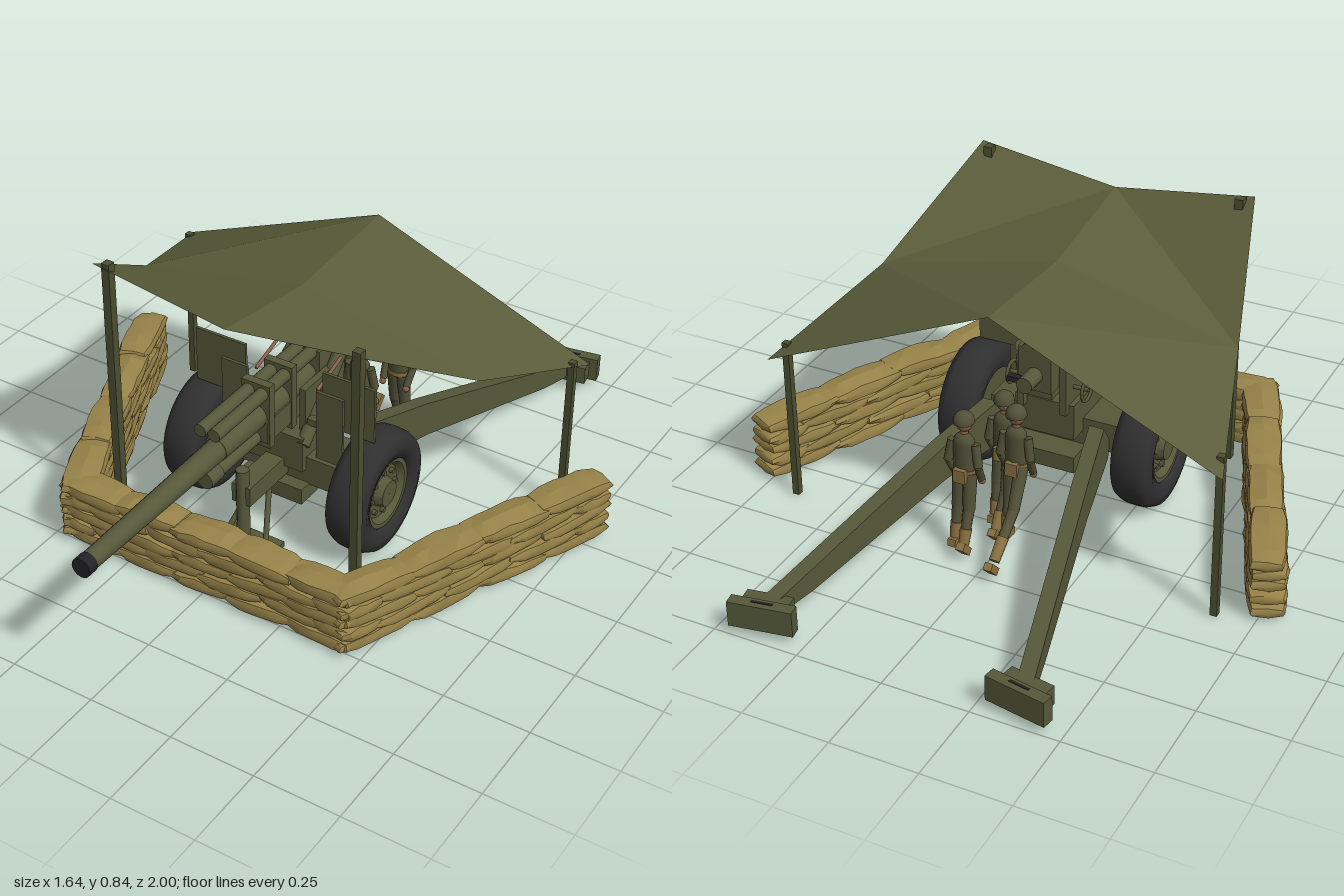
import * as THREE from 'three';
import { mergeVertices, toCreasedNormals } from 'three/addons/utils/BufferGeometryUtils.js';

const mat = (name, color, extra = {}) => Object.assign(new THREE.MeshStandardMaterial({ color, ...extra }), { name });
const M = {
  gun: mat('olive paint', 0x555839),
  canvas: mat('canvas', 0x5b5d3b, { side: THREE.DoubleSide, flatShading: true }),
  pole: mat('pole green', 0x4b4f30),
  bag: mat('sandbag', 0x988349),
  tyre: mat('rubber', 0x303030),
  dark: mat('dark steel', 0x232326),
  cloth: mat('uniform', 0x525037),
  skin: mat('skin', 0x8a6148),
  tan: mat('webbing and boots', 0x88703f),
};

let seed = 7;
const rnd = () => ((seed = (seed * 16807) % 2147483647) / 2147483647) * 2 - 1;

function add(parent, name, geo, m, x = 0, y = 0, z = 0) {
  const mesh = new THREE.Mesh(geo, m);
  mesh.name = name;
  mesh.position.set(x, y, z);
  parent.add(mesh);
  return mesh;
}
const box = (p, name, m, w, h, d, x, y, z) => add(p, name, new THREE.BoxGeometry(w, h, d), m, x, y, z);

// Round bar between two points
function rod(p, name, m, a, b, r0, r1 = r0, sides = 12) {
  const A = new THREE.Vector3(...a), B = new THREE.Vector3(...b), dir = B.clone().sub(A);
  const mesh = add(p, name, new THREE.CylinderGeometry(r1, r0, dir.length(), sides), m);
  mesh.position.copy(A).add(B).multiplyScalar(0.5);
  mesh.quaternion.setFromUnitVectors(new THREE.Vector3(0, 1, 0), dir.normalize());
  return mesh;
}
// Bar along the barrel axis
const zRod = (p, name, m, x, y, z0, z1, r0, r1 = r0) => rod(p, name, m, [x, y, z0], [x, y, z1], r0, r1, 20);

// Pillow shape for a sandbag, drooping toward its ends
function bagGeometry() {
  let g = new THREE.BoxGeometry(2, 2, 2, 5, 2, 2);
  g.deleteAttribute('normal');
  g.deleteAttribute('uv');
  g = mergeVertices(g);
  const p = g.attributes.position;
  for (let i = 0; i < p.count; i++) {
    const u = p.getX(i), v = p.getY(i), w = p.getZ(i);
    p.setXYZ(i, u * (1 - 0.05 * v * v) + rnd() * 0.03,
      v * (1 - 0.45 * u ** 4) * (1 - 0.3 * w * w) + rnd() * 0.12,
      w * (1 - 0.15 * u ** 4) * (1 - 0.1 * v * v) + rnd() * 0.05);
  }
  return toCreasedNormals(g, 0.6);
}

// Staggered courses of bags from one end point to the other
function sandbagWall(parent, name, geos, a, b, n) {
  const wall = new THREE.Group();
  wall.name = name;
  parent.add(wall);
  const dx = b[0] - a[0], dz = b[1] - a[1], len = Math.hypot(dx, dz), step = len / n;
  for (let row = 0; row < 5; row++) {
    const odd = row % 2;
    for (let i = 0; i < n + odd; i++) {
      const s = odd ? Math.max(0, (i - 0.5) * step) : i * step;
      const e = odd ? Math.min(len, (i + 0.5) * step) : (i + 1) * step;
      const t = (s + e) / 2 / len;
      const bag = add(wall, 'sandbag', geos[(i + row * 2) % geos.length], M.bag,
        a[0] + dx * t, 0.027 + row * 0.037 + rnd() * 0.003, a[1] + dz * t);
      bag.scale.set((e - s) / 2 + 0.012, 0.025, 0.053 + rnd() * 0.004);
      bag.rotation.set(0, Math.atan2(-dz, dx) + rnd() * 0.04, rnd() * 0.06, 'YXZ');
    }
  }
}

function buildWheel(parent, s) {
  const w = new THREE.Group();
  w.name = s > 0 ? 'leftWheel' : 'rightWheel';
  w.position.set(s * 0.27, 0.182, 0.055);
  w.rotation.z = -s * Math.PI / 2;
  parent.add(w);
  const prof = [[0.105, -0.05], [0.14, -0.062], [0.17, -0.052], [0.18, -0.03], [0.182, 0],
    [0.18, 0.03], [0.17, 0.052], [0.14, 0.062], [0.105, 0.05], [0.1, 0]];
  add(w, 'tyre', new THREE.LatheGeometry(prof.map(q => new THREE.Vector2(...q)), 40), M.tyre);
  const rim = [[0.001, -0.04], [0.108, -0.045], [0.108, 0.045], [0.092, 0.045], [0.08, 0.025], [0.045, 0.025], [0.038, 0.05], [0.001, 0.05]];
  add(w, 'rim', toCreasedNormals(new THREE.LatheGeometry(rim.map(q => new THREE.Vector2(...q)), 28), 0.6), M.gun);
  for (let i = 0; i < 8; i++) {
    const t = i * Math.PI / 4;
    add(w, 'wheelNut', new THREE.CylinderGeometry(0.008, 0.008, 0.012, 6), M.gun, Math.cos(t) * 0.063, 0.03, Math.sin(t) * 0.063);
  }
}

// Tapered trail leg splayed outward, with its spade
function buildTrail(parent, s) {
  const pts = [[0, 0.19], [0.09, 0.285], [0.3, 0.245], [0.93, 0.085], [0.93, 0.04], [0.8, 0.05], [0.3, 0.135], [0.03, 0.15]];
  const g = new THREE.ExtrudeGeometry(new THREE.Shape(pts.map(q => new THREE.Vector2(...q))), { depth: 0.045, bevelEnabled: false });
  const p = g.attributes.position;
  for (let i = 0; i < p.count; i++) {
    const a = p.getX(i);
    p.setXYZ(i, s * (0.167 + 0.245 * (a - 0.1)) + p.getZ(i) - 0.0225, p.getY(i), -a);
  }
  g.computeVertexNormals();
  add(parent, 'trailLeg', g, M.gun);
  const spade = new THREE.Group();
  spade.name = 'spade';
  spade.position.set(s * 0.372, 0.06, -0.955);
  spade.rotation.y = s * 0.17;
  parent.add(spade);
  box(spade, 'spadePlate', M.gun, 0.18, 0.075, 0.035, 0, 0, -0.012);
  box(spade, 'spadeBlock', M.gun, 0.13, 0.055, 0.06, 0, 0, 0.02);
  box(spade, 'spadeSlot', M.dark, 0.06, 0.006, 0.008, 0, 0.036, -0.008);
}

function buildGun(root) {
  const g = new THREE.Group();
  g.name = 'fieldGun';
  root.add(g);
  // Barrel and breech
  zRod(g, 'barrel', M.gun, 0, 0.43, 0.3, 0.97, 0.034, 0.026);
  zRod(g, 'barrelSleeve', M.gun, 0, 0.43, -0.05, 0.42, 0.042, 0.034);
  zRod(g, 'muzzleRing', M.dark, 0, 0.43, 0.968, 1, 0.028);
  zRod(g, 'breechScrew', M.gun, 0, 0.435, -0.205, -0.1, 0.024);
  box(g, 'breechBlock', M.gun, 0.1, 0.13, 0.13, 0, 0.45, -0.075);
  box(g, 'breechLever', M.dark, 0.05, 0.015, 0.02, 0.04, 0.43, -0.17);
  // Recoil cylinders and cradle
  for (const s of [-1, 1]) zRod(g, 'upperRecoilCylinder', M.gun, s * 0.022, 0.507, -0.14, 0.46, 0.019);
  zRod(g, 'lowerRecoilCylinder', M.gun, 0, 0.362, 0, 0.47, 0.021);
  zRod(g, 'lowerCylinderCap', M.gun, 0, 0.362, 0.42, 0.475, 0.025);
  box(g, 'cradle', M.gun, 0.085, 0.07, 0.36, 0, 0.39, 0.06);
  for (const z of [0.17, 0.28]) box(g, 'cylinderYoke', M.gun, 0.09, 0.2, 0.025, 0, 0.435, z - 0.06);
  // Carriage
  box(g, 'saddle', M.gun, 0.18, 0.11, 0.22, 0, 0.27, 0.03);
  box(g, 'bottomCarriage', M.gun, 0.4, 0.09, 0.14, 0, 0.21, 0.05);
  box(g, 'bellyPlate', M.gun, 0.2, 0.05, 0.26, 0, 0.145, 0.03);
  rod(g, 'axle', M.gun, [-0.26, 0.182, 0.055], [0.26, 0.182, 0.055], 0.025);
  // Front firing jack
  rod(g, 'jackPost', M.gun, [0, 0.02, 0.3], [0, 0.29, 0.3], 0.019);
  box(g, 'jackArm', M.gun, 0.06, 0.06, 0.22, 0, 0.21, 0.2);
  box(g, 'jackPlate', M.gun, 0.17, 0.018, 0.15, 0, 0.018, 0.3);
  for (const s of [-1, 1]) {
    rod(g, 'jackBrace', M.gun, [s * 0.07, 0.025, 0.3], [s * 0.02, 0.19, 0.2], 0.008);
    box(g, 'cheekPlate', M.gun, 0.02, 0.16, 0.2, s * 0.065, 0.38, 0);
    rod(g, 'trunnion', M.gun, [s * 0.04, 0.42, 0], [s * 0.095, 0.42, 0], 0.024);
    rod(g, 'equilibrator', M.gun, [s * 0.085, 0.3, 0.13], [s * 0.07, 0.48, -0.08], 0.02);
    rod(g, 'sightRod', M.skin, [s * 0.1, 0.46, 0.08], [s * 0.1, 0.5, -0.04], 0.005);
    // Shields
    box(g, 'outerShield', M.gun, 0.165, 0.17, 0.009, s * 0.2075, 0.45, 0.09);
    box(g, 'innerShield', M.gun, 0.085, 0.28, 0.009, s * 0.155, 0.335, 0.102);
    box(g, 'shieldBracket', M.gun, 0.06, 0.02, 0.08, s * 0.11, 0.36, 0.06);
    const hand = add(g, 'handwheel', new THREE.TorusGeometry(0.033, 0.005, 6, 18), M.gun, s * 0.115, 0.37, -0.05);
    hand.rotation.y = Math.PI / 2;
    rod(g, 'handwheelShaft', M.gun, [s * 0.06, 0.37, -0.05], [s * 0.12, 0.37, -0.05], 0.006);
    buildWheel(g, s);
    buildTrail(g, s);
  }
}

// Striding crew member with one leg trailing
function buildCrew(parent, x, z, h, back) {
  const c = new THREE.Group();
  c.name = 'crewMember';
  c.position.set(x, 0, z);
  c.scale.setScalar(h / 0.44);
  parent.add(c);
  const torso = add(c, 'torso', new THREE.CapsuleGeometry(0.032, 0.075, 4, 12), M.cloth, 0, 0.305, 0);
  torso.scale.z = 0.75;
  add(c, 'belt', new THREE.CylinderGeometry(0.033, 0.033, 0.014, 12), M.tan, 0, 0.255, 0).scale.z = 0.8;
  box(c, 'pack', M.tan, 0.036, 0.04, 0.016, 0, 0.25, -0.028);
  rod(c, 'neck', M.skin, [0, 0.35, 0], [0, 0.385, 0.005], 0.012);
  add(c, 'head', new THREE.SphereGeometry(0.023, 14, 10), M.skin, 0, 0.4, 0.005);
  add(c, 'helmet', new THREE.SphereGeometry(0.03, 16, 8, 0, Math.PI * 2, 0, Math.PI * 0.55), M.cloth, 0, 0.41, 0.002);
  for (const s of [-1, 1]) {
    const fz = s < 0 ? -back : -0.03;
    rod(c, 'upperArm', M.cloth, [s * 0.036, 0.345, 0], [s * 0.046, 0.28, -0.008], 0.013);
    rod(c, 'forearm', M.cloth, [s * 0.046, 0.28, -0.008], [s * 0.04, 0.225, 0.02], 0.011);
    add(c, 'hand', new THREE.SphereGeometry(0.011, 8, 6), M.skin, s * 0.04, 0.217, 0.023);
    rod(c, 'thigh', M.cloth, [s * 0.016, 0.25, 0], [s * 0.02, 0.14, fz * 0.3], 0.021, 0.017);
    rod(c, 'shin', M.cloth, [s * 0.02, 0.14, fz * 0.3], [s * 0.02, 0.05, fz * 0.85], 0.016, 0.013);
    rod(c, 'gaiter', M.tan, [s * 0.02, 0.09, fz * 0.62], [s * 0.02, 0.045, fz * 0.88], 0.017, 0.015);
    const boot = box(c, 'boot', M.tan, 0.024, 0.022, 0.052, s * 0.02, 0.032, fz + 0.005);
    boot.rotation.x = s < 0 ? 0.8 : 0.15;
  }
}

function buildCanopy(root) {
  const g = new THREE.Group();
  g.name = 'canopy';
  root.add(g);
  // Rows front to back, each right to left
  const v = [-0.42, 0.84, 0.37, 0, 0.78, 0.37, 0.42, 0.84, 0.37,
    -0.54, 0.595, -0.02, 0, 0.72, 0, 0.54, 0.595, -0.02,
    -0.67, 0.462, -0.43, 0, 0.745, -0.4, 0.67, 0.462, -0.43];
  const geo = new THREE.BufferGeometry();
  geo.setAttribute('position', new THREE.Float32BufferAttribute(v, 3));
  geo.setIndex([0, 1, 3, 1, 4, 3, 1, 2, 5, 1, 5, 4, 3, 4, 7, 3, 7, 6, 4, 5, 7, 5, 8, 7]);
  geo.computeVertexNormals();
  add(g, 'canvasSheet', geo, M.canvas);
  for (const s of [-1, 1]) {
    box(g, 'frontPole', M.pole, 0.025, 0.84, 0.025, s * 0.387, 0.42, 0.345);
    box(g, 'rearPole', M.pole, 0.02, 0.495, 0.02, s * 0.642, 0.2475, -0.372);
  }
}

export function createModel() {
  const root = new THREE.Group();
  root.name = 'gunEmplacement';
  const bags = [0, 1, 2, 3].map(bagGeometry);
  sandbagWall(root, 'frontWall', bags, [-0.46, 0.465], [0.46, 0.465], 5);
  sandbagWall(root, 'leftWall', bags, [0.42, 0.5], [0.77, -0.33], 4);
  sandbagWall(root, 'rightWall', bags, [-0.42, 0.5], [-0.77, -0.33], 4);
  buildGun(root);
  buildCrew(root, 0.085, -0.39, 0.435, 0.06);
  buildCrew(root, -0.025, -0.3, 0.435, 0.2);
  buildCrew(root, 0.04, -0.245, 0.43, 0.11);
  buildCanopy(root);
  return root;
}
